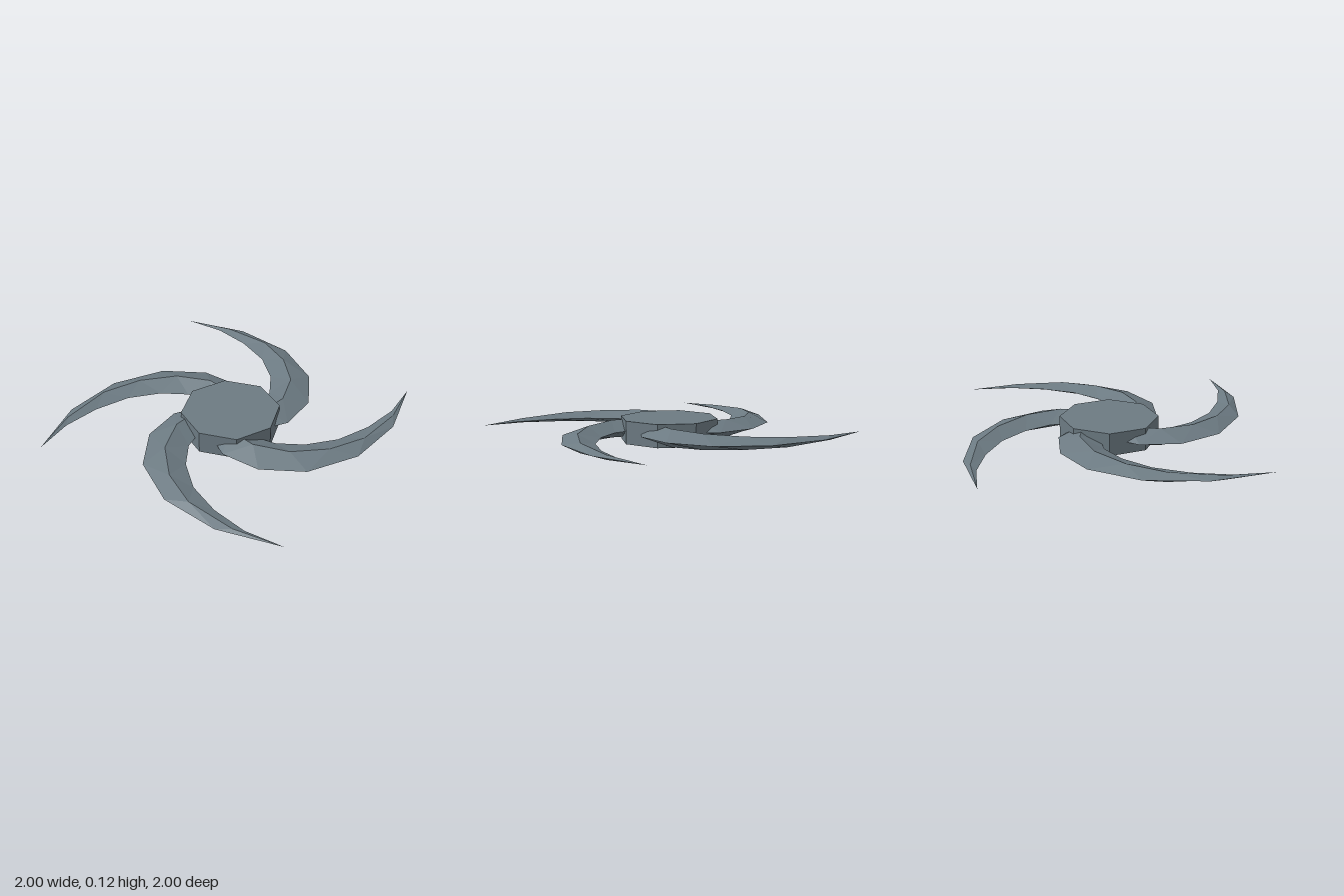
import * as THREE from 'three';

const MID = 0.0625; // height of the blades' cutting plane

// Blade stations: outer edge (x, z), ridge (x, z), inner edge (x, z), half thickness
const STATIONS = [
  [-0.17, 0.10, -0.09, 0.15, 0.00, 0.16, 0.05],
  [-0.19, 0.25, -0.04, 0.31, 0.10, 0.31, 0.048],
  [-0.09, 0.45, 0.10, 0.45, 0.23, 0.395, 0.042],
  [0.12, 0.59, 0.30, 0.525, 0.41, 0.445, 0.034],
  [0.42, 0.615, 0.52, 0.53, 0.61, 0.435, 0.026],
  [0.73, 0.50, 0.78, 0.43, 0.81, 0.38, 0.012],
  [1.0, 0.27, 1.0, 0.27, 1.0, 0.27, 0],
];

// Curved blade with a diamond cross-section, tapering to a point
function bladeGeometry() {
  const rings = STATIONS.map(([ox, oz, rx, rz, ix, iz, h]) => [
    [ox, MID, oz], [rx, MID + h, rz], [ix, MID, iz], [rx, MID - h, rz],
  ]);
  const pos = [];
  const tri = (a, b, c) => pos.push(...a, ...b, ...c);
  const last = rings.length - 1;
  for (let i = 0; i < last; i++) {
    for (let k = 0; k < 4; k++) {
      const n = (k + 1) % 4;
      const a = rings[i][k], b = rings[i][n], c = rings[i + 1][n], d = rings[i + 1][k];
      tri(a, d, b);
      if (i < last - 1) tri(d, c, b);
    }
  }
  // root cap, inside the hub
  const [p, q, r, s] = rings[0];
  tri(p, q, r);
  tri(p, r, s);
  const geo = new THREE.BufferGeometry();
  geo.setAttribute('position', new THREE.Float32BufferAttribute(pos, 3));
  geo.computeVertexNormals();
  return geo;
}

export function createModel() {
  const model = new THREE.Group();
  model.name = 'throwingStar';
  const steel = new THREE.MeshStandardMaterial({ color: 0x6c7a82, flatShading: true });
  steel.name = 'steel';

  // Octagonal hub
  const hubGeo = new THREE.CylinderGeometry(0.2706, 0.2706, 0.125, 8);
  hubGeo.rotateY(Math.PI / 8);
  const hub = new THREE.Mesh(hubGeo, steel);
  hub.name = 'hub';
  hub.position.y = MID;
  model.add(hub);

  // Four blades sweeping around the hub
  const bladeGeo = bladeGeometry();
  for (let i = 0; i < 4; i++) {
    const blade = new THREE.Mesh(bladeGeo, steel);
    blade.name = `blade${i + 1}`;
    blade.rotation.y = (i * Math.PI) / 2;
    model.add(blade);
  }
  return model;
}
